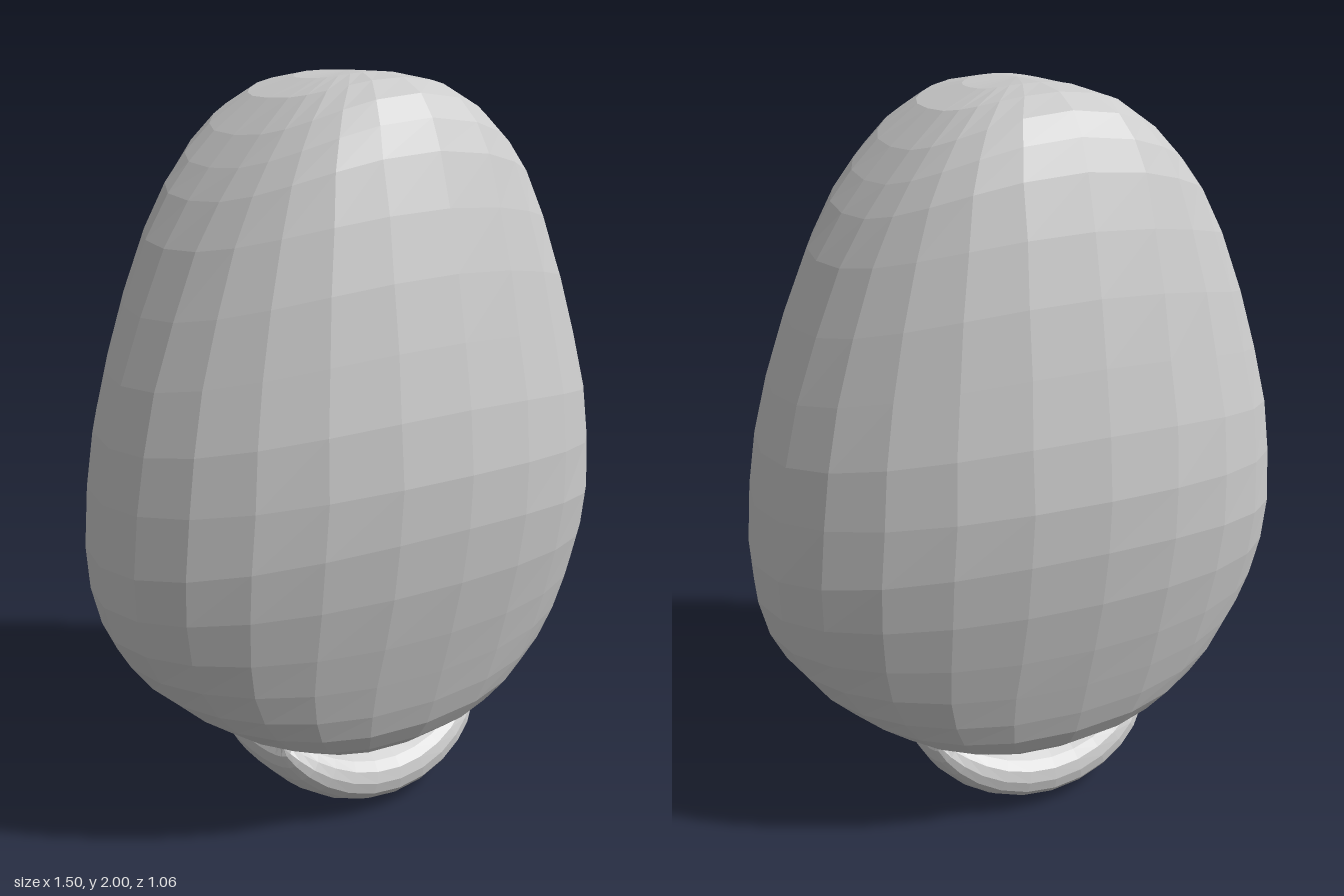
import * as THREE from 'three';

const SIDES = 24;

// Skins a list of rings (each SIDES points) with flat-shaded quads.
function loft(rings) {
  const index = [];
  for (let i = 0; i < rings.length - 1; i++) {
    for (let j = 0; j < SIDES; j++) {
      const k = (j + 1) % SIDES;
      const a = i * SIDES + j, b = i * SIDES + k;
      const c = a + SIDES, d = b + SIDES;
      index.push(a, b, d, a, d, c);
    }
  }
  const geo = new THREE.BufferGeometry();
  geo.setAttribute('position', new THREE.Float32BufferAttribute(rings.flat(2), 3));
  geo.setIndex(index);
  const flat = geo.toNonIndexed();
  flat.computeVertexNormals();
  return flat;
}

// Point j on a superellipse with half-sizes a, b and exponent n.
function superellipse(j, a, b, n) {
  const t = (j / SIDES) * Math.PI * 2;
  const p = (v) => Math.sign(v) * Math.pow(Math.abs(v), 2 / n);
  return [a * p(Math.cos(t)), b * p(Math.sin(t))];
}

const ring = (fn) => Array.from({ length: SIDES }, (_, j) => fn(j));

export function createModel() {
  const grey = new THREE.MeshStandardMaterial({ color: 0xcccccc, flatShading: true });
  grey.name = 'grey';
  const group = new THREE.Group();
  group.name = 'eggBody';

  // Body rings: half-width, half-depth, height at the sides,
  // height at front and back, squareness
  const levels = [
    [0, 0, 0.18, 0.18, 2.6], [0.13, 0.13, 0.195, 0.182, 2.6],
    [0.24, 0.22, 0.225, 0.197, 2.6], [0.35, 0.28, 0.265, 0.228, 2.6],
    [0.46, 0.33, 0.32, 0.268, 2.5], [0.55, 0.367, 0.385, 0.325, 2.4],
    [0.62, 0.395, 0.45, 0.4, 2.3], [0.68, 0.425, 0.53, 0.5, 2.2],
    [0.72, 0.46, 0.61, 0.62, 2.1], [0.745, 0.498, 0.71, 0.77, 2.05],
    [0.75, 0.522, 0.82, 0.92, 2.05], [0.735, 0.53, 0.98, 1.06, 2.05],
    [0.71, 0.515, 1.12, 1.22, 2.1], [0.67, 0.487, 1.27, 1.38, 2.1],
    [0.61, 0.455, 1.43, 1.54, 2.2], [0.54, 0.418, 1.59, 1.69, 2.3],
    [0.47, 0.378, 1.7, 1.82, 2.5], [0.41, 0.345, 1.775, 1.895, 2.6],
    [0.34, 0.3, 1.85, 1.95, 2.7], [0.24, 0.23, 1.935, 1.985, 2.7],
    [0.13, 0.13, 1.98, 1.998, 2.6], [0, 0, 2, 2, 2.6],
  ];
  const bodyRings = levels.map(([a, b, ySide, yFront, n]) => ring((j) => {
    const [x, z] = superellipse(j, a, b, n);
    const t = a ? (x / a) ** 2 : 0;
    return [x, yFront + (ySide - yFront) * t, -z];
  }));
  const body = new THREE.Mesh(loft(bodyRings), grey);
  body.name = 'body';
  group.add(body);

  // Saddle-shaped foot: rounded sections swept along an upturned arc
  const STEPS = 14, RADIUS = 0.42, SPREAD = 0.855, CENTRE_Y = 0.525;
  const footRings = [];
  for (let i = 0; i <= STEPS; i++) {
    const u = -Math.cos((i / STEPS) * Math.PI);
    const round = Math.sqrt(Math.max(0, 1 - u * u));
    const height = 0.1 * Math.pow(round, 0.7);
    const depth = 0.15 + 0.107 * round;
    footRings.push(ring((j) => {
      const [z, out] = superellipse(j, depth, height, 2.4);
      const r = RADIUS - out;
      return [r * Math.sin(u * SPREAD), CENTRE_Y - r * Math.cos(u * SPREAD), -z];
    }));
  }
  const foot = new THREE.Mesh(loft(footRings), grey);
  foot.name = 'foot';
  group.add(foot);

  return group;
}
